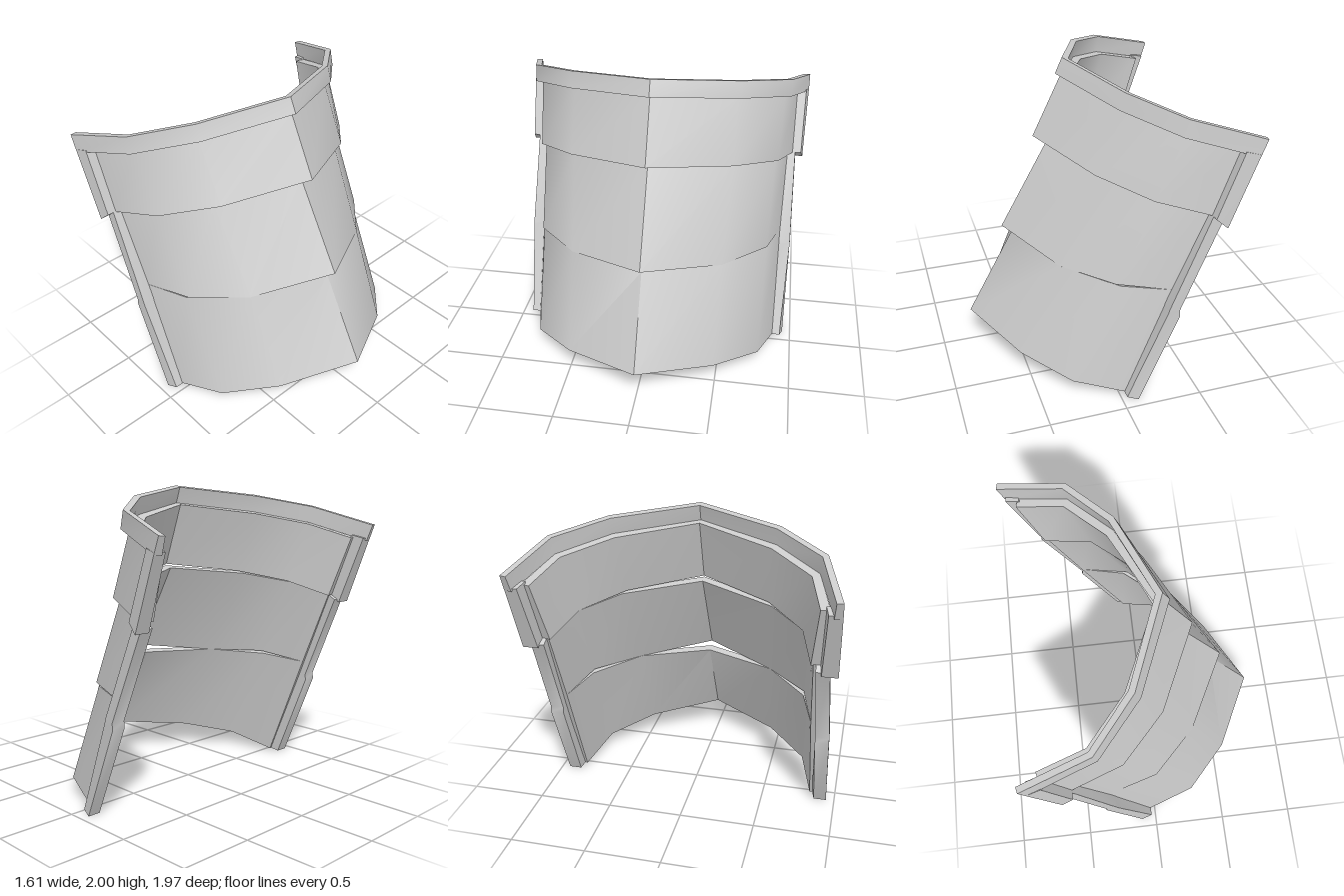
import * as THREE from 'three';
import { toCreasedNormals } from 'three/addons/utils/BufferGeometryUtils.js';

const material = new THREE.MeshStandardMaterial({ color: 0xcccccc });
const SLOPE = 0.27; // tilt of the cross-section planes

// Skin closed loops of points, stacked bottom to top, and cap both ends
function loft(name, loops) {
  const pos = [];
  const quad = (a, b, c, d) => pos.push(...a, ...b, ...c, ...a, ...c, ...d);
  const n = loops[0].length;
  for (let s = 0; s < loops.length - 1; s++) {
    const lo = loops[s], hi = loops[s + 1];
    for (let i = 0; i < n; i++) {
      const j = (i + 1) % n;
      quad(lo[i], lo[j], hi[j], hi[i]);
    }
  }
  const bottom = loops[0], top = loops[loops.length - 1];
  for (let i = 0; i < n / 2 - 1; i++) {
    quad(top[i], top[i + 1], top[n - 2 - i], top[n - 1 - i]);
    quad(bottom[n - 1 - i], bottom[n - 2 - i], bottom[i + 1], bottom[i]);
  }
  const geo = new THREE.BufferGeometry();
  geo.setAttribute('position', new THREE.Float32BufferAttribute(pos, 3));
  const mesh = new THREE.Mesh(toCreasedNormals(geo, 0.75), material);
  mesh.name = name;
  return mesh;
}

const mirror = ([x, y, z]) => [x, y, -z];

// Faceted arch: crest point, two bends and an edge, mirrored across z = 0
function arch({ crest, edge, z, thick, t = [0.29, 0.61], bend }) {
  const at = (k, zz) => [
    crest[0] + (edge[0] - crest[0]) * k,
    crest[1] + (edge[1] - crest[1]) * k, zz];
  const outer = [[...crest, 0], bend || at(t[0], z[0]), at(t[1], z[1]), at(1, z[2])];
  const normals = [[1.05, 0], [0.85, 0.52], [0.55, 0.83], [0.22, 0.98]];
  const inner = outer.map(([x, y, zz], i) => [
    x - thick * normals[i][0],
    y - thick * normals[i][0] * SLOPE,
    zz - thick * normals[i][1]]);
  const span = (p) => [...p.slice(1).reverse(), ...p.map(mirror)];
  return [...span(outer), ...span(inner).reverse()];
}

// Raised border strips on both open edges; each station is
// [outer-edge x, y, z, inner-edge x, y, z, thickness]
function edgeStrips(name, stations) {
  const left = stations.map(([sx, sy, sz, ex, ey, ez, t]) => [
    [sx, sy, sz], [ex, ey, ez], [ex, ey, ez - t], [sx, sy, sz - t]]);
  const right = left.map((loop) => loop.map(mirror).reverse());
  const pair = new THREE.Group();
  pair.name = name;
  pair.add(loft(name + 'Left', left), loft(name + 'Right', right));
  return pair;
}

export function createModel() {
  const group = new THREE.Group();
  group.name = 'armorShell';

  // Lower plate, up to the notch on the crest
  const notchEdge = { edge: [-0.335, 0.75], z: [0.5, 0.78, 0.87], thick: 0.05, bend: [0.29, 0.815, 0.5] };
  group.add(loft('lowerPlate', [
    arch({ crest: [0.8, 0.25], edge: [-0.04, 0.025], z: [0.49, 0.775, 0.875], thick: 0.05 }),
    arch({ crest: [0.48, 0.835], ...notchEdge }),
  ]));

  // Middle plate, overhanging the lower one at the crest only
  group.add(loft('middlePlate', [
    arch({ crest: [0.55, 0.88], ...notchEdge }),
    arch({ crest: [0.225, 1.46], edge: [-0.54, 1.255], z: [0.53, 0.79, 0.875], thick: 0.05 }),
  ]));

  // Upper band, stepped outward
  group.add(loft('upperBand', [
    arch({ crest: [0.32, 1.5], edge: [-0.54, 1.255], z: [0.53, 0.81, 0.91], thick: 0.1 }),
    arch({ crest: [0.13, 1.89], edge: [-0.69, 1.655], z: [0.53, 0.82, 0.91], thick: 0.055 }),
  ]));

  // Top rim
  group.add(loft('topRim', [
    arch({ crest: [0.165, 1.9], edge: [-0.76, 1.635], z: [0.55, 0.86, 0.985], thick: 0.05, t: [0.25, 0.55] }),
    arch({ crest: [0.12, 2.0], edge: [-0.8, 1.74], z: [0.55, 0.86, 0.985], thick: 0.04, t: [0.24, 0.53] }),
  ]));

  // Borders along the open edges
  group.add(edgeStrips('rimBorder', [
    [-0.6, 1.2, 0.98, -0.53, 1.26, 0.965, 0.1],
    [-0.765, 1.65, 0.985, -0.68, 1.67, 0.965, 0.08],
  ]));
  group.add(edgeStrips('plateBorder', [
    [-0.1, 0.005, 0.945, -0.03, 0.025, 0.925, 0.085],
    [-0.35, 0.605, 0.945, -0.275, 0.64, 0.942, 0.09],
    [-0.345, 0.645, 0.945, -0.28, 0.66, 0.942, 0.09],
    [-0.59, 1.22, 0.93, -0.53, 1.26, 0.925, 0.085],
  ]));

  return group;
}
